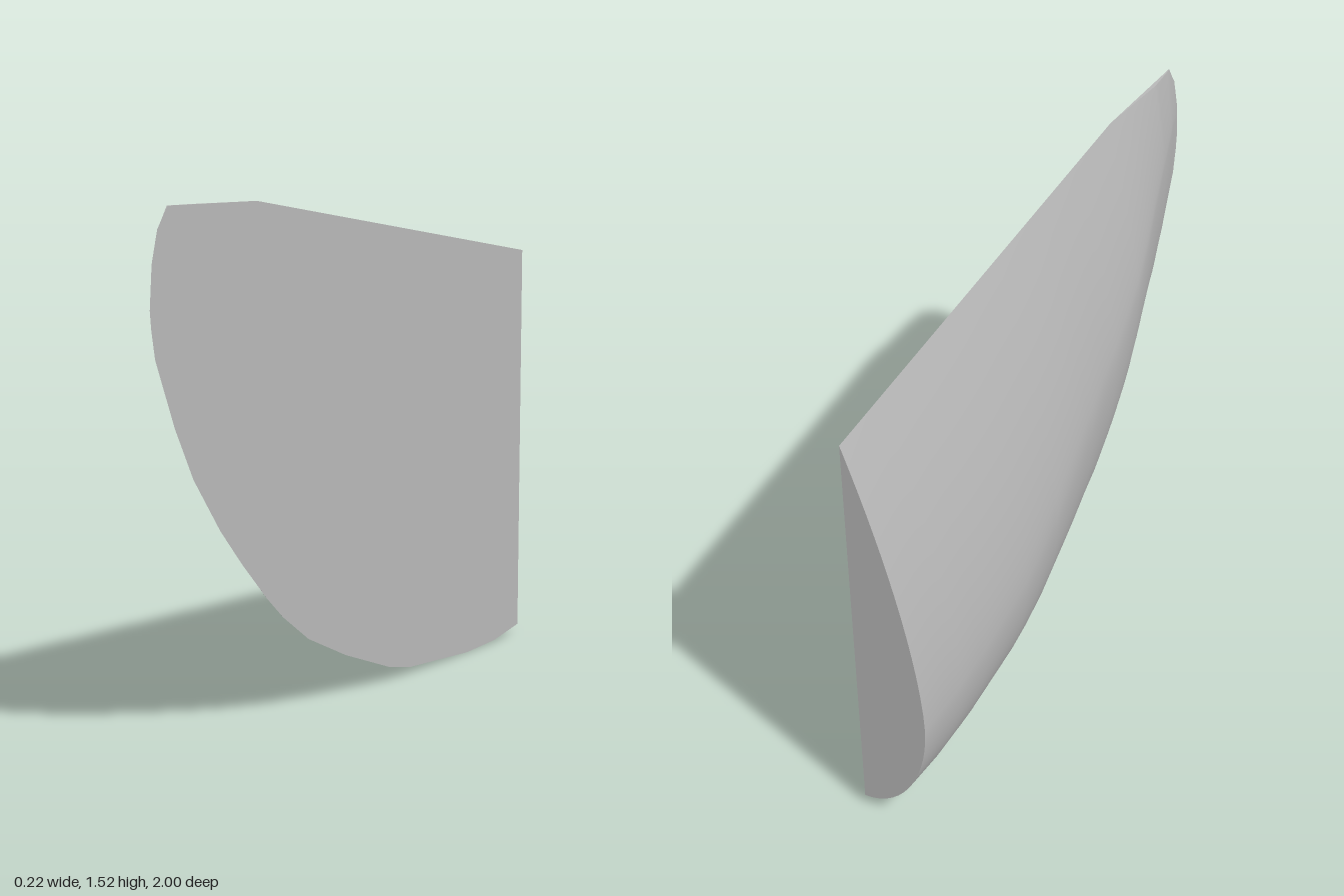
import * as THREE from 'three';

const FLAT_X = 0.11;

// Outline curves along the length, as [z, value]
const KEEL = [[-1, 0.03], [-0.84, 0.005], [-0.66, 0], [-0.3, 0.025], [-0.18, 0.05], [0.07, 0.14],
  [0.27, 0.23], [0.4, 0.32], [0.48, 0.39], [0.6, 0.51], [0.7, 0.62], [0.82, 0.78], [0.9, 0.93],
  [0.98, 1.12], [0.995, 1.2], [1, 1.25]];
const TOP = [[-1, 1.31], [0.52, 1.52], [0.92, 1.52], [0.965, 1.46], [0.99, 1.37], [1, 1.25]];
const BREADTH = [[-1, 0.22], [-0.7, 0.22], [-0.4, 0.214], [-0.2, 0.2], [0, 0.18], [0.2, 0.155],
  [0.35, 0.14], [0.5, 0.12], [0.6, 0.1], [0.7, 0.075], [0.8, 0.052], [0.9, 0.028], [1, 0]];
const DECK = [[-1, 0], [0.52, 0], [0.8, 0.013], [0.92, 0.003], [0.95, 0], [1, 0]];
const PEAK = [[-1, 0.72], [-0.4, 0.66], [0, 0.58], [0.5, 0.5], [0.8, 0.38], [1, 0.35]];

function sample(table, z) {
  let i = 0;
  while (i < table.length - 2 && z > table[i + 1][0]) i++;
  const [z0, v0] = table[i], [z1, v1] = table[i + 1];
  return THREE.MathUtils.lerp(v0, v1, (z - z0) / (z1 - z0));
}

// Cross-section from the top edge down to the keel
function section(z, steps = 28) {
  const top = sample(TOP, z), keel = sample(KEEL, z);
  const width = sample(BREADTH, z), deck = sample(DECK, z), peak = sample(PEAK, z);
  const s = (z + 1) / 2;
  const points = [];
  for (let i = 0; i <= steps; i++) {
    const upper = i <= steps / 2;
    const u = upper ? i / (steps / 2) : Math.sin((i / steps - 0.5) * Math.PI);
    const t = upper ? u * peak : peak + u * (1 - peak);
    const offset = upper
      ? deck + (width - deck) * (1 - Math.pow(1 - u, 1.55 - 0.25 * s))
      : width * Math.pow(Math.max(0, 1 - u * u), 0.5 + 0.4 * s);
    points.push([FLAT_X - offset, top + (keel - top) * t, z]);
  }
  return points;
}

// Surface through rows of equal point count
function loft(rows) {
  const n = rows[0].length, index = [];
  for (let j = 0; j < rows.length - 1; j++) {
    for (let i = 0; i < n - 1; i++) {
      const a = j * n + i, b = a + 1, c = a + n, d = c + 1;
      index.push(a, b, c, b, d, c);
    }
  }
  const geometry = new THREE.BufferGeometry();
  geometry.setAttribute('position', new THREE.Float32BufferAttribute(rows.flat(2), 3));
  geometry.setIndex(index);
  geometry.computeVertexNormals();
  return geometry;
}

export function createModel() {
  const group = new THREE.Group();
  group.name = 'halfHull';
  const grey = new THREE.MeshStandardMaterial({ color: 0xb8b8b8 });
  grey.name = 'plain grey';

  // Stations at every outline breakpoint plus a regular spacing
  const stations = new Set([...KEEL, ...TOP, ...BREADTH, ...DECK].map(p => p[0]));
  for (let i = -9; i < 10; i++) stations.add(i / 10);
  const zs = [...stations].sort((a, b) => a - b);
  const sections = zs.map(z => section(z));

  const add = (name, rows) => {
    const mesh = new THREE.Mesh(loft(rows), grey);
    mesh.name = name;
    group.add(mesh);
  };

  // Curved outer skin
  add('curvedSide', sections);
  // Flat centre plane
  add('flatSide', zs.map(z => [[FLAT_X, sample(KEEL, z), z], [FLAT_X, sample(TOP, z), z]]));
  // Flat back end
  add('backEnd', [sections[0].map(([, y, z]) => [FLAT_X, y, z]), sections[0]]);
  // Narrow flat along the top of the bow
  add('topEdge', sections.map(s => [[FLAT_X, s[0][1], s[0][2]], s[0]]));

  return group;
}
